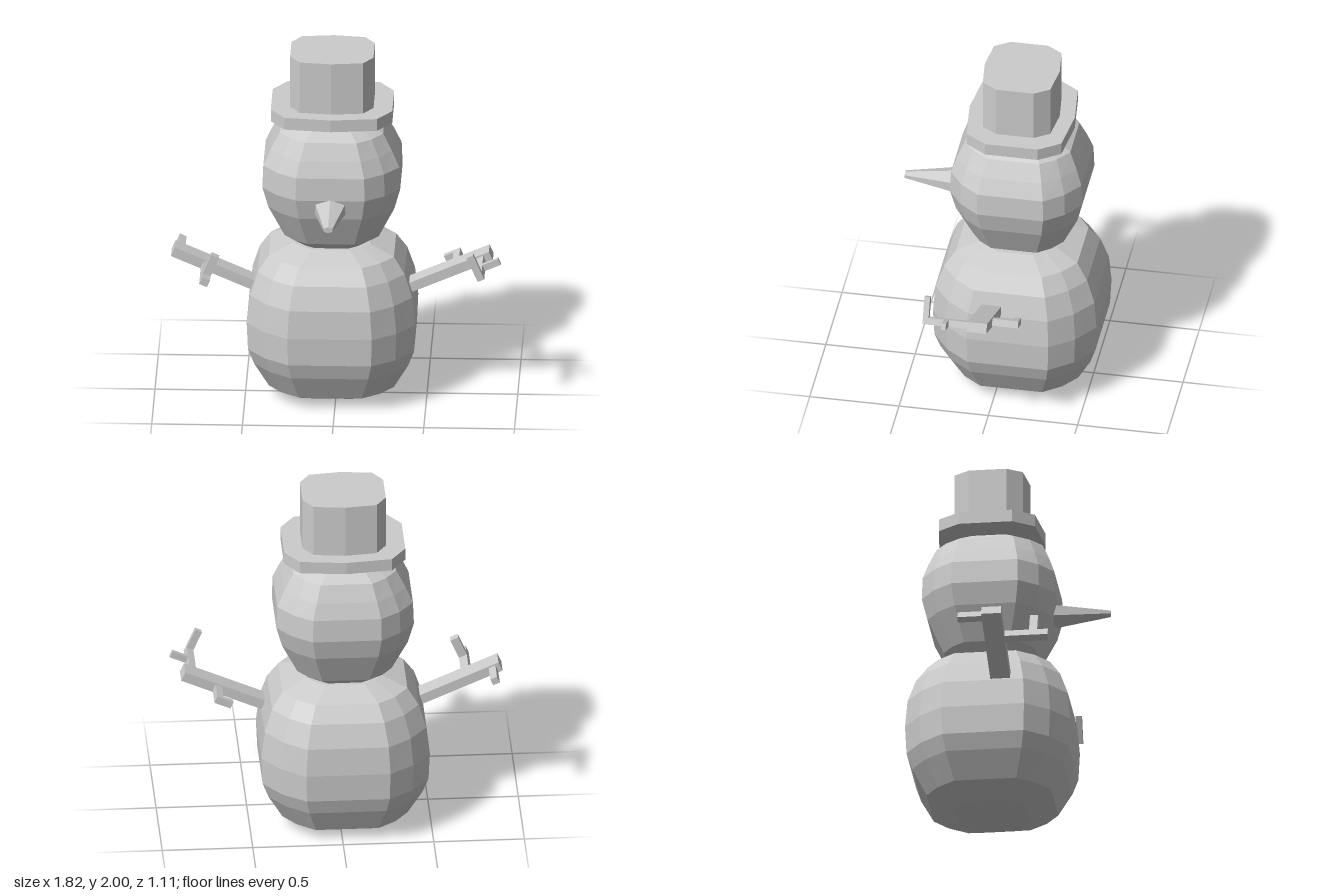
import * as THREE from 'three';

const material = new THREE.MeshStandardMaterial({ color: 0xcccccc, flatShading: true });
const CX = -0.025, CZ = -0.095;

// Mirrors a quarter outline (front middle towards the left side) into a full loop
function fullOutline(quarter) {
  const half = [...quarter, ...quarter.slice().reverse().map(([x, z]) => [x, -z])];
  const other = half.slice(1, -1).reverse().map(([x, z]) => [-x, z]);
  // the front and back middle points occur once each
  return [...half, ...other];
}

const ballOutline = fullOutline([[0, 1], [0.5, 1], [0.785, 0.79], [1, 0.5]]);
const hatOutline = fullOutline([[0, 1], [0.76, 0.9], [1, 0.5]]);

// Closed loft through rings given as [height, half width, half depth]
function loft(name, outline, rings) {
  const n = outline.length, positions = [], index = [];
  for (const [y, hx, hz] of rings)
    for (const [x, z] of outline) positions.push(CX + x * hx, y, CZ + z * hz);
  const last = rings.length - 1;
  for (let r = 0; r < last; r++)
    for (let i = 0; i < n; i++) {
      const a = r * n + i, b = r * n + (i + 1) % n;
      index.push(a, b, b + n, a, b + n, a + n);
    }
  const bottom = positions.length / 3, top = bottom + 1;
  positions.push(CX, rings[0][0], CZ, CX, rings[last][0], CZ);
  for (let i = 0; i < n; i++) {
    const j = (i + 1) % n;
    index.push(j, i, bottom, last * n + i, last * n + j, top);
  }
  const geometry = new THREE.BufferGeometry();
  geometry.setAttribute('position', new THREE.Float32BufferAttribute(positions, 3));
  geometry.setIndex(index);
  geometry.computeVertexNormals();
  const mesh = new THREE.Mesh(geometry, material);
  mesh.name = name;
  return mesh;
}

// Arm whose pieces are boxes: [name, along from/to, across from/to, z from/to]
function makeArm(name, side, shoulderX, pieces) {
  const arm = new THREE.Group();
  arm.name = name;
  for (const [part, s0, s1, t0, t1, z0, z1] of pieces) {
    const box = new THREE.Mesh(new THREE.BoxGeometry(s1 - s0, t1 - t0, z1 - z0), material);
    box.position.set(side * (s0 + s1) / 2, (t0 + t1) / 2, (z0 + z1) / 2);
    box.name = part;
    arm.add(box);
  }
  arm.position.set(shoulderX, 0.655, 0);
  arm.rotation.z = side * 0.41;
  return arm;
}

export function createModel() {
  const model = new THREE.Group();
  model.name = 'snowman';

  // Snowballs
  model.add(loft('body', ballOutline, [
    [0, 0.21, 0.195], [0.065, 0.345, 0.345], [0.21, 0.425, 0.42], [0.3, 0.458, 0.45],
    [0.46, 0.465, 0.458], [0.62, 0.447, 0.445], [0.75, 0.405, 0.4], [0.84, 0.345, 0.34],
    [0.89, 0.21, 0.2],
  ]));
  model.add(loft('head', ballOutline, [
    [0.89, 0.185, 0.18], [0.945, 0.26, 0.255], [1.13, 0.348, 0.34], [1.25, 0.38, 0.37],
    [1.38, 0.375, 0.365], [1.47, 0.335, 0.335], [1.565, 0.285, 0.295], [1.63, 0.17, 0.18],
  ]));

  // Hat
  model.add(loft('hatBrim', hatOutline, [[1.63, 0.335, 0.295], [1.7, 0.335, 0.295]]));
  model.add(loft('hatCrown', hatOutline, [[1.7, 0.23, 0.21], [2, 0.23, 0.21]]));

  // Nose
  const noseGeometry = new THREE.CylinderGeometry(0.018, 0.065, 0.32, 6);
  noseGeometry.scale(1.54, 1, 1);
  const nose = new THREE.Mesh(noseGeometry, material);
  nose.name = 'nose';
  nose.rotation.x = Math.PI / 2;
  nose.position.set(CX, 1.195, 0.4);
  model.add(nose);

  // Stick arms with twigs
  const branch = ['branch', -0.08, 0.473, -0.028, 0.028, -0.055, 0.055];
  model.add(makeArm('leftArm', 1, 0.42, [
    branch,
    ['frontTwig', 0.395, 0.435, -0.019, 0.019, 0.05, 0.31],
    ['frontTwigTip', 0.395, 0.435, 0.019, 0.135, 0.278, 0.31],
    ['frontTwigSpur', 0.435, 0.53, -0.019, 0.019, 0.165, 0.19],
    ['backTwig', 0.247, 0.287, -0.02, 0.02, -0.2, -0.05],
    ['backTwigTip', 0.19, 0.247, -0.02, 0.02, -0.2, -0.165],
  ]));
  model.add(makeArm('rightArm', -1, -0.465, [
    branch,
    ['frontTwig', 0.25, 0.297, -0.022, 0.022, 0.05, 0.295],
    ['frontTwigSpur', 0.25, 0.297, 0.022, 0.14, 0.19, 0.235],
    ['backTwig', 0.41, 0.45, -0.02, 0.02, -0.19, -0.05],
  ]));

  return model;
}
